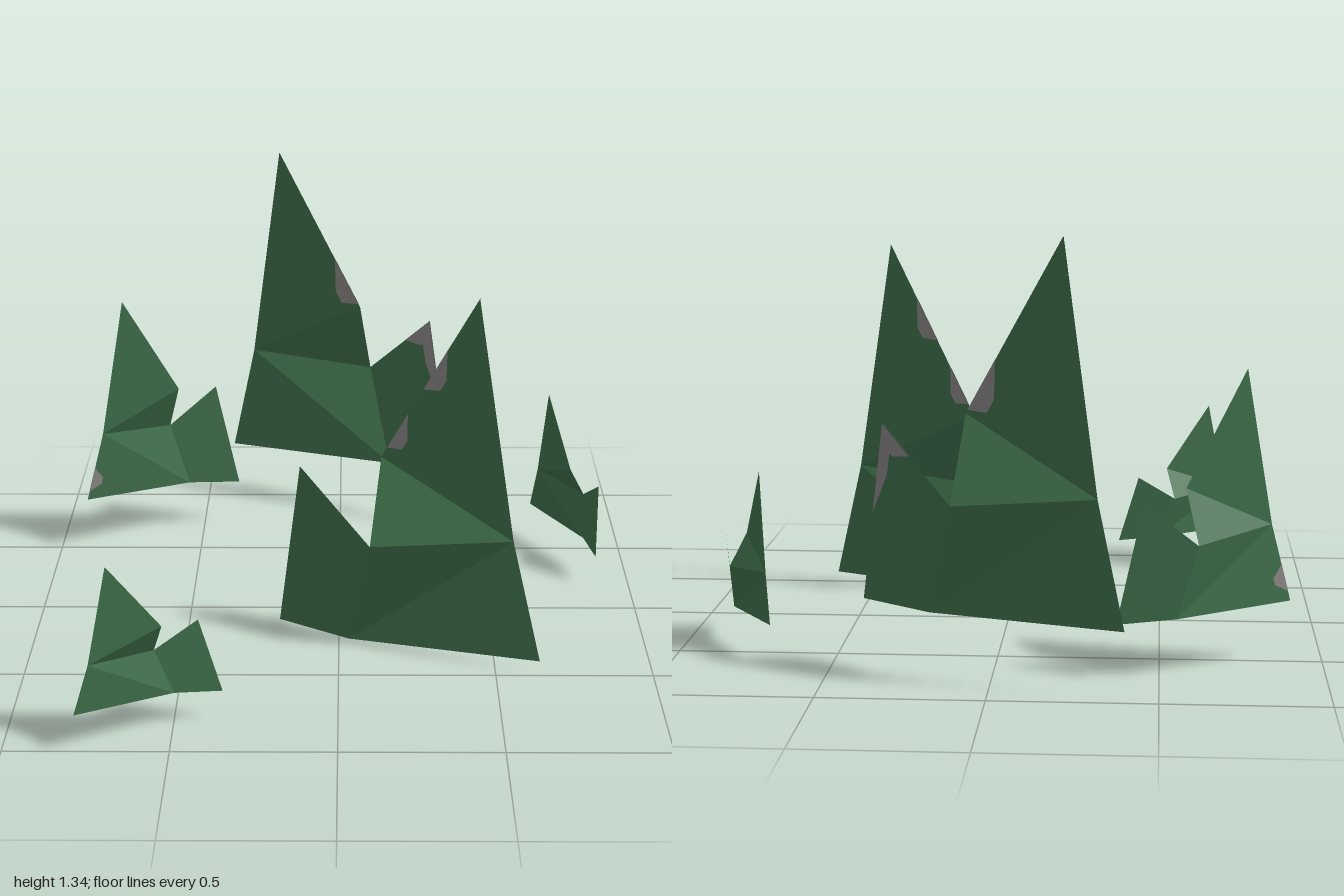
import * as THREE from 'three';

const green = new THREE.MeshStandardMaterial({ color: 0x41714c, side: THREE.DoubleSide });
green.name = 'leafGreen';
const grey = new THREE.MeshStandardMaterial({ color: 0x8c8888, side: THREE.DoubleSide });
grey.name = 'dryGrey';

// One bent, two-bladed sheet; the outer foot is the origin
const CORNERS = {
  tallTip: new THREE.Vector3(0.176, 1.13, -0.048),
  outerBend: new THREE.Vector3(0.081, 0.38, -0.015),
  bladeEdge: new THREE.Vector3(0.507, 0.6, -0.025),
  notch: new THREE.Vector3(0.505, 0.34, -0.123),
  shortTip: new THREE.Vector3(0.75, 0.56, -0.094),
  outerFoot: new THREE.Vector3(0, 0, 0),
  middleFoot: new THREE.Vector3(0.611, 0, -0.062),
  innerFoot: new THREE.Vector3(0.881, 0, 0),
};
const FACES = [
  ['tallTip', 'outerBend', 'bladeEdge'],
  ['bladeEdge', 'outerBend', 'notch'],
  ['outerBend', 'outerFoot', 'middleFoot'],
  ['outerBend', 'middleFoot', 'notch'],
  ['notch', 'middleFoot', 'innerFoot'],
  ['notch', 'innerFoot', 'shortTip'],
];

function trianglesMesh(name, points, material) {
  const geometry = new THREE.BufferGeometry().setFromPoints(points);
  geometry.computeVertexNormals();
  const mesh = new THREE.Mesh(geometry, material);
  mesh.name = name;
  return mesh;
}

// Dry spot along the edge a-b from one fraction to another, reaching into the face towards c
function addSpot(leaf, face, from, to, depth) {
  const [a, b, c] = face.map((key) => CORNERS[key]);
  const ab = b.clone().sub(a);
  const ac = c.clone().sub(a);
  const normal = ab.clone().cross(ac).normalize();
  const span = to - from;
  for (const offset of [-0.002, 0.002]) {
    const at = (along, inward) =>
      a.clone().addScaledVector(ab, along).addScaledVector(ac, inward).addScaledVector(normal, offset);
    const start = at(from, 0);
    const upper = at(from + 0.18 * span, depth);
    const lower = at(from + 0.44 * span, depth);
    leaf.add(trianglesMesh('drySpot', [start, upper, lower, start, lower, at(to, 0)], grey));
  }
}

// Places a sheet by its outer foot, turned, tilted sideways and leaned forward
function makeLeaf(name, foot, turn, width, height, tilt, lean) {
  const leaf = new THREE.Group();
  leaf.name = name;
  leaf.add(trianglesMesh('leafSheet', FACES.flat().map((key) => CORNERS[key]), green));
  leaf.position.set(...foot);
  leaf.rotation.set(lean, turn, -tilt, 'YZX');
  leaf.scale.set(width, height, width);
  return leaf;
}

export function createModel() {
  const model = new THREE.Group();
  model.name = 'leafCluster';

  const frontLarge = makeLeaf('frontLargeLeaf', [0.64, 0.04, 0.48], 2.707, 1.05, 1.045, 0.043, 0.05);
  const backLarge = makeLeaf('backLargeLeaf', [-0.4, 0.21, -1], -0.433, 1, 1, 0, 0);
  const back = makeLeaf('backLeaf', [-0.9, 0.19, -0.49], 0.425, 0.66, 0.645, 0.045, 0.065);
  const frontSmall = makeLeaf('frontSmallLeaf', [-0.78, 0.12, 1], 0.433, 0.538, 0.41, 0.042, 0.06);
  const sideSmall = makeLeaf('sideSmallLeaf', [0.69, 0.12, -0.63], -1.145, 0.536, 0.41, 0.042, 0.06);

  // Dry spots on the blade edges
  const bladeSide = ['tallTip', 'bladeEdge', 'outerBend'];
  addSpot(frontLarge, bladeSide, 0.318, 0.563, 0.095);
  addSpot(frontLarge, bladeSide, 0.72, 0.937, 0.088);
  addSpot(backLarge, bladeSide, 0.69, 0.98, 0.12);
  addSpot(backLarge, ['shortTip', 'innerFoot', 'notch'], 0, 0.5, 0.14);
  addSpot(backLarge, ['shortTip', 'notch', 'innerFoot'], 0, 0.4, 0.1);
  addSpot(back, ['outerBend', 'outerFoot', 'middleFoot'], 0.52, 0.875, 0.1);

  model.add(frontLarge, backLarge, back, frontSmall, sideSmall);
  return model;
}
